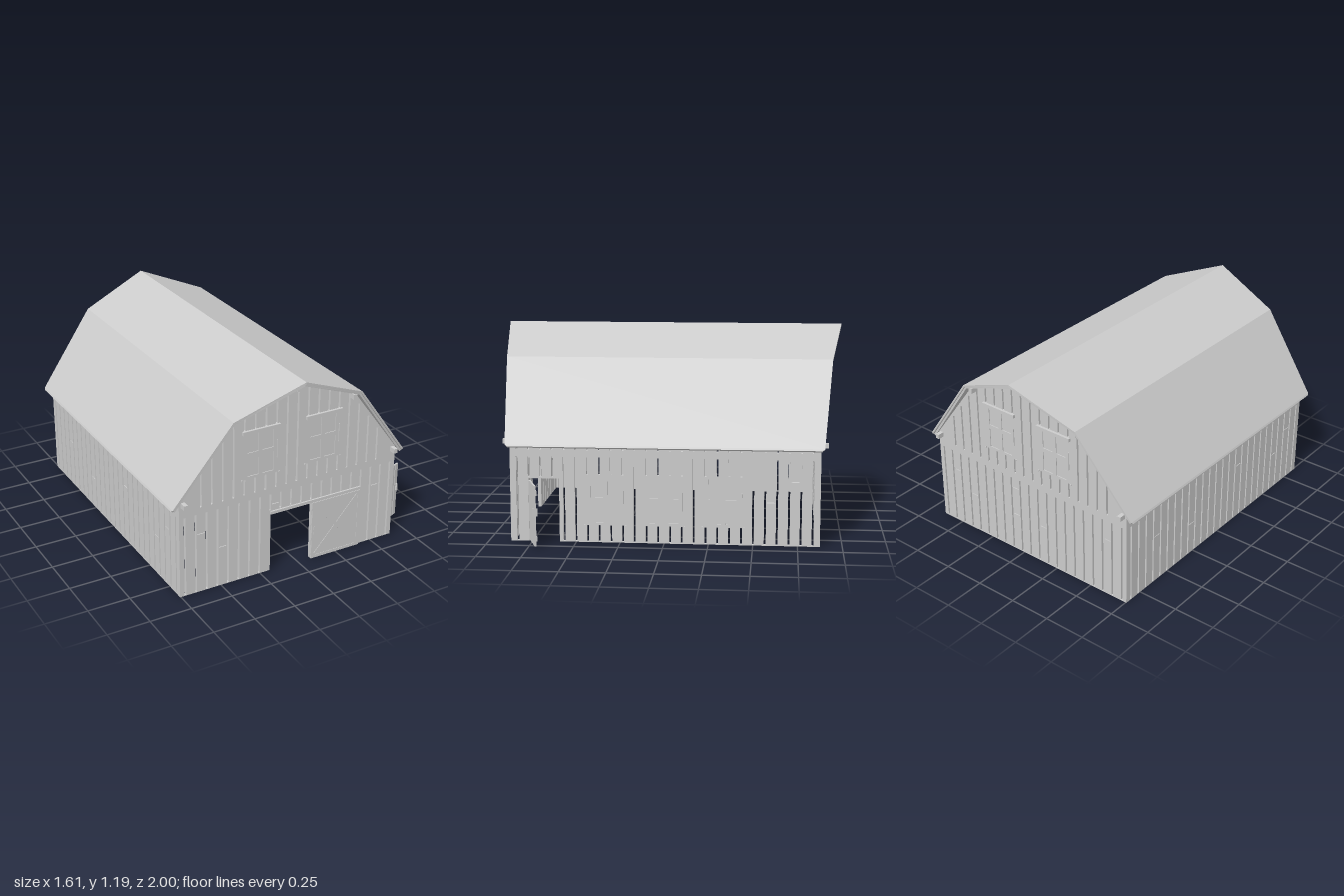
import * as THREE from 'three';

const material = new THREE.MeshStandardMaterial({ color: 0xcccccc, flatShading: true });
const STEP = 0.0667, GAP = 0.011;

function add(parent, name, geometry, x = 0, y = 0, z = 0) {
  const mesh = new THREE.Mesh(geometry, material);
  mesh.name = name;
  mesh.position.set(x, y, z);
  parent.add(mesh);
  return mesh;
}
const box = (parent, name, w, h, d, x, y, z) => add(parent, name, new THREE.BoxGeometry(w, h, d), x, y, z);

// Underside of the gambrel roof at distance x from the ridge
function undersideY(x) {
  const d = Math.abs(x);
  return d < 0.392 ? 1.16 - d * 0.16 / 0.392 : 1.0 - (d - 0.392) * 0.455 / 0.336;
}

// Gap positions between boards, mirrored about the middle
function gaps(limit, offset) {
  const list = offset ? [] : [0];
  for (let x = offset || STEP; x < limit; x += STEP) list.push(x, -x);
  return list;
}

function rectHole(shape, x0, x1, y0, y1) {
  if (y1 - y0 < 0.015 && x1 - x0 < 0.02) return;
  shape.holes.push(new THREE.Path([[x0, y0], [x0, y1], [x1, y1], [x1, y0]].map(p => new THREE.Vector2(...p))));
}

// Vertical gaps, interrupted wherever a window or doorway sits
function slots(shape, xs, y0, topAt, blocks) {
  for (const x of xs) {
    const top = topAt(x), a = x - GAP / 2, b = x + GAP / 2;
    const block = blocks.find(k => x > k[0] && x < k[1]);
    if (!block) rectHole(shape, a, b, y0, top);
    else {
      if (block[2] > y0) rectHole(shape, a, b, y0, block[2]);
      rectHole(shape, a, b, block[3], top);
    }
  }
}

const outline = pts => new THREE.Shape(pts.map(p => new THREE.Vector2(...p)));
const extrude = shape => new THREE.ExtrudeGeometry(shape, { depth: 0.02, bevelEnabled: false });
const windowBlock = (x, y) => [x - 0.12, x + 0.12, y - 0.145, y + 0.145];
const seams = (shape, list) => list.forEach(([x, y]) => rectHole(shape, x - 0.023, x + 0.023, y, y + 0.004));

function paneHoles(shape, x, y) {
  for (const sx of [-1, 1]) for (const sy of [-1, 1]) {
    const cx = x + sx * 0.047, cy = y + sy * 0.071;
    rectHole(shape, cx - 0.035, cx + 0.035, cy - 0.058, cy + 0.058);
  }
}

function addWindow(wall, x, y, lintel) {
  box(wall, 'windowPane', 0.18, 0.275, 0.006, x, y, 0.012);
  box(wall, 'windowLatch', 0.004, 0.11, 0.008, x + 0.104, y, 0.022);
  if (lintel) box(wall, 'windowLintel', 0.235, 0.02, 0.03, x, y + 0.141, 0.02);
  for (const s of [-1, 1]) box(wall, 'windowPeg', 0.007, 0.007, 0.008, x + s * 0.117, y - 0.145, 0.023);
}

// Gable end: lower board wall and upper gable with two windows
function gableEnd(name, hasDoor) {
  const wall = new THREE.Group();
  wall.name = name;
  const pts = [[-0.7, 0]];
  if (hasDoor) pts.push([-0.13, 0], [-0.13, 0.365], [0.138, 0.365], [0.138, 0]);
  pts.push([0.7, 0], [0.7, 0.525], [-0.7, 0.525]);
  const lower = outline(pts);
  slots(lower, gaps(0.69, 0), 0.004, () => 0.49, hasDoor ? [[-0.15, 0.15, 0, 0.39]] : []);
  const marks = [[-8.5, 0.365], [-6.5, 0.245], [8.5, 0.365], [-1.5, 0.425]];
  if (!hasDoor) marks.push([-1.5, 0.245], [1.5, 0.245]);
  seams(lower, marks.map(([k, y]) => [k * STEP, y]));
  add(wall, 'lowerBoards', extrude(lower));

  const upper = outline([[-0.7, 0.525], [0.7, 0.525], [0.7, undersideY(0.7)], [0.392, 1.0],
    [0, 1.16], [-0.392, 1.0], [-0.7, undersideY(0.7)]]);
  const centres = [-0.2, 0.2];
  slots(upper, gaps(0.6, STEP / 2), 0.53, x => undersideY(Math.abs(x) + GAP) - 0.015,
    centres.map(x => windowBlock(x, 0.768)));
  for (const x of centres) paneHoles(upper, x, 0.768);
  add(wall, 'gableBoards', extrude(upper));
  for (const x of centres) addWindow(wall, x, 0.768, true);
  return wall;
}

// Long side wall; the +x one carries three windows and a doorway
function sideWall(name, isRight) {
  const wall = new THREE.Group();
  wall.name = name;
  const pts = [[-0.855, 0]];
  if (isRight) pts.push([-0.77, 0], [-0.77, 0.365], [-0.595, 0.365], [-0.595, 0]);
  pts.push([0.855, 0], [0.855, 0.58], [-0.855, 0.58]);
  const shape = outline(pts);
  const centres = isRight ? [-0.333, 0, 0.333] : [];
  const blocks = centres.map(x => windowBlock(x, 0.245));
  if (isRight) blocks.push([-0.79, -0.58, 0, 0.375]);
  const xs = gaps(0.85, STEP / 2);
  slots(shape, xs, 0.004, () => 0.49, blocks);
  slots(shape, xs, 0.53, () => 0.572, []);
  for (const x of centres) paneHoles(shape, x, 0.245);
  seams(shape, [[9 * STEP, 0.245], [11 * STEP, 0.365]]);
  if (!isRight) seams(shape, [[-9 * STEP, 0.3], [-4 * STEP, 0.2], [3 * STEP, 0.365]]);
  add(wall, 'sideBoards', extrude(shape));
  for (const x of centres) addWindow(wall, x, 0.245, false);
  return wall;
}

// Roof layer between two half profiles of [x, y, z] points listed ridge to eave
function roofLayer(outer, inner) {
  const full = h => [...h.slice(1).reverse().map(([x, y, z]) => [-x, y, z]), ...h];
  const side = (h, s) => full(h).map(([x, y, z]) => [x, y, z * s]);
  const oF = side(outer, 1), oB = side(outer, -1), iF = side(inner, 1), iB = side(inner, -1);
  const pos = [];
  const quad = (a, b, c, d) => pos.push(...a, ...b, ...c, ...a, ...c, ...d);
  for (let i = 0; i < oF.length - 1; i++) {
    const j = i + 1;
    quad(oF[i], oF[j], oB[j], oB[i]);
    quad(iF[j], iF[i], iB[i], iB[j]);
    quad(iF[i], iF[j], oF[j], oF[i]);
    quad(iB[j], iB[i], oB[i], oB[j]);
  }
  const n = oF.length - 1;
  quad(iB[0], iF[0], oF[0], oB[0]);
  quad(iF[n], iB[n], oB[n], oF[n]);
  const geometry = new THREE.BufferGeometry();
  geometry.setAttribute('position', new THREE.Float32BufferAttribute(pos, 3));
  geometry.computeVertexNormals();
  return geometry;
}

export function createModel() {
  const model = new THREE.Group();
  model.name = 'barn';
  const barn = new THREE.Group();
  barn.name = 'building';
  barn.position.x = -0.055;
  model.add(barn);

  // Walls
  const front = gableEnd('frontWall', true), back = gableEnd('backWall', false);
  front.position.z = 0.855;
  back.position.z = -0.855;
  back.rotation.y = Math.PI;
  const right = sideWall('sideWallWithWindows', true), left = sideWall('plainSideWall', false);
  right.position.x = 0.68;
  right.rotation.y = Math.PI / 2;
  left.position.x = -0.68;
  left.rotation.y = -Math.PI / 2;
  barn.add(front, back, right, left);

  // Roof covering and the boarding beneath it
  add(barn, 'roofCovering', roofLayer(
    [[0, 1.187, 1], [0.405, 1.02, 0.94], [0.745, 0.565, 0.893], [0.75, 0.555, 0.88]],
    [[0, 1.174, 1], [0.399, 1.01, 0.94], [0.735, 0.56, 0.893], [0.74, 0.55, 0.88]]));
  add(barn, 'roofBoarding', roofLayer(
    [[0, 1.174, 0.99], [0.399, 1.01, 0.93], [0.738, 0.553, 0.882]],
    [[0, 1.16, 0.99], [0.392, 1.0, 0.93], [0.728, 0.545, 0.882]]));

  // Ridge, knee and eave beams poke out past the gables
  box(barn, 'ridgeBeam', 0.028, 0.045, 1.88, 0, 1.132, 0);
  for (const s of [-1, 1]) {
    box(barn, 'kneeBeam', 0.022, 0.03, 1.83, s * 0.378, 0.982, 0);
    box(barn, 'eaveBeam', 0.024, 0.028, 1.83, s * 0.677, 0.573, 0);
  }

  // Sliding front door with a cross brace, hung from a track
  const door = new THREE.Group();
  door.name = 'slidingDoor';
  door.position.set(0.302, 0.183, 0.88);
  barn.add(door);
  box(door, 'doorPanel', 0.327, 0.364, 0.008, 0, 0, 0);
  for (const s of [-1, 1]) {
    box(door, 'doorStile', 0.018, 0.364, 0.003, s * 0.154, 0, 0.005);
    box(door, 'doorRail', 0.29, 0.018, 0.003, 0, s * 0.173, 0.005);
    box(door, 'doorBrace', 0.44, 0.016, 0.003, 0, 0, 0.005).rotation.z = s * 0.845;
  }
  box(door, 'doorHandle', 0.006, 0.05, 0.006, -0.15, 0, 0.008);
  box(barn, 'doorTrack', 0.6, 0.018, 0.01, 0.166, 0.376, 0.88);

  // Side door standing open on its hinges
  const sideDoor = new THREE.Group();
  sideDoor.name = 'sideDoor';
  sideDoor.position.set(0.7, 0, 0.765);
  sideDoor.rotation.y = 0.37;
  barn.add(sideDoor);
  for (let i = 0; i < 5; i++) box(sideDoor, 'doorBoard', 0.028, 0.345, 0.01, 0.019 + i * 0.0335, 0.182, 0);
  for (const y of [0.05, 0.31]) box(sideDoor, 'doorCrossBoard', 0.155, 0.028, 0.007, 0.084, y, -0.008);
  for (const s of [-1, 1]) box(sideDoor, 'doorHandle', 0.008, 0.045, 0.012, 0.155, 0.2, s * 0.01);

  // L-shaped slatted loft along the plain side and the front
  for (let x = -0.665; x < -0.33; x += 0.034) box(barn, 'sideLoftSlat', 0.026, 0.014, 0.98, x, 0.485, 0.365);
  for (let z = 0.84; z > 0.55; z -= 0.034) box(barn, 'frontLoftSlat', 0.99, 0.014, 0.026, 0.18, 0.485, z);
  box(barn, 'loftBeam', 0.02, 0.025, 0.98, -0.33, 0.467, 0.365);
  box(barn, 'loftBeam', 0.99, 0.025, 0.02, 0.18, 0.467, 0.56);
  return model;
}
